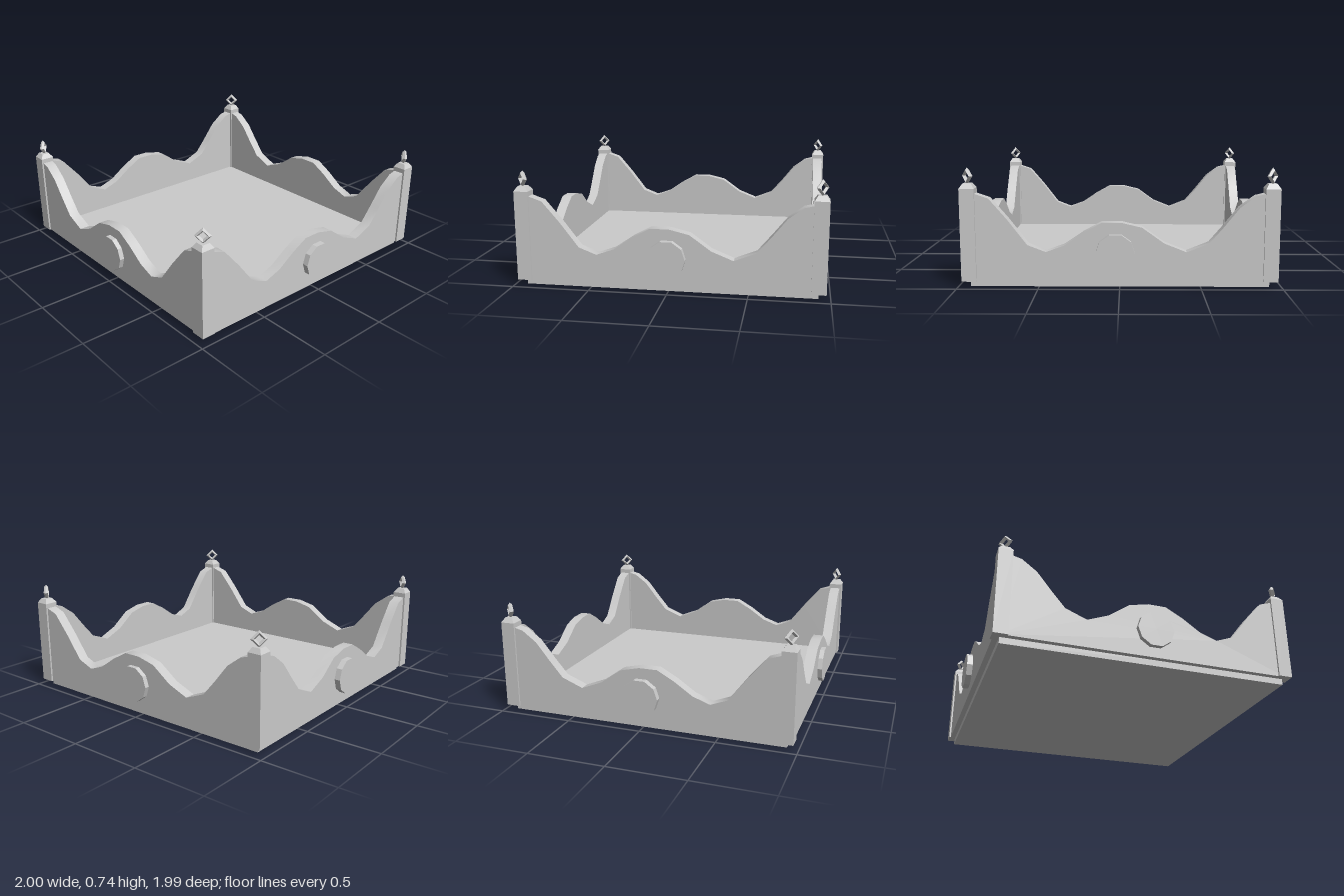
import * as THREE from 'three';
import { toCreasedNormals } from 'three/addons/utils/BufferGeometryUtils.js';

const smooth = new THREE.MeshStandardMaterial({ color: 0xcccccc });
const flat = new THREE.MeshStandardMaterial({ color: 0xcccccc, flatShading: true });

function add(parent, name, geometry, material, x, y, z) {
  const mesh = new THREE.Mesh(geometry, material);
  mesh.name = name;
  mesh.position.set(x, y, z);
  parent.add(mesh);
  return mesh;
}

// Wavy wall panel: flat bottom, scalloped top edge
function wallGeometry() {
  const top = [
    [-0.93, 0.59], [-0.885, 0.585], [-0.825, 0.57], [-0.73, 0.5], [-0.635, 0.382], [-0.548, 0.28],
    [-0.41, 0.225], [-0.272, 0.28], [-0.137, 0.377], [-0.01, 0.407], [0.11, 0.407], [0.223, 0.345],
    [0.34, 0.265], [0.453, 0.225], [0.565, 0.268], [0.683, 0.422], [0.797, 0.555], [0.885, 0.585], [0.93, 0.59],
  ];
  const shape = new THREE.Shape();
  shape.moveTo(-0.93, 0.04);
  shape.lineTo(0.93, 0.04);
  for (const [x, y] of top.slice().reverse()) shape.lineTo(x, y);
  shape.closePath();
  const geometry = new THREE.ExtrudeGeometry(shape, { depth: 0.07, bevelEnabled: false });
  geometry.translate(0, 0, -0.035);
  return toCreasedNormals(geometry, 0.75);
}

// Corner post with a tapered cap and a diamond ring finial set diagonally
function cornerPost(sx, sz) {
  const post = new THREE.Group();
  post.name = 'cornerPost';
  post.position.set(sx * 0.927, 0, sz * 0.927);
  add(post, 'postShaft', new THREE.BoxGeometry(0.092, 0.575, 0.092), flat, 0, 0.3275, 0);
  const cap = new THREE.CylinderGeometry(0.026 * Math.SQRT2, 0.046 * Math.SQRT2, 0.03, 4);
  cap.rotateY(Math.PI / 4);
  add(post, 'postCap', cap, flat, 0, 0.63, 0);
  const ring = add(post, 'finialRing', new THREE.TorusGeometry(0.037, 0.014, 4, 4), flat, 0, 0.69, 0);
  ring.rotation.y = Math.atan2(sx, sz);
  return post;
}

export function createModel() {
  const model = new THREE.Group();
  model.name = 'scallopedTray';

  // Floor slab, also the recessed plinth below the walls
  add(model, 'floor', new THREE.BoxGeometry(1.852, 0.07, 1.852), flat, 0, 0.035, 0);

  // Two pairs of opposite walls, each wall with a ten-sided medallion
  const wall = wallGeometry();
  const pairs = [
    { name: 'frontAndBackWalls', turn: 0, shift: 0.027, reach: 0.9925 },
    { name: 'sideWalls', turn: -Math.PI / 2, shift: 0.004, reach: 1 },
  ];
  for (const { name, turn, shift, reach } of pairs) {
    const pair = new THREE.Group();
    pair.name = name;
    pair.rotation.y = turn;
    const depth = reach - 0.94;
    const disc = new THREE.CylinderGeometry(0.12, 0.12, depth, 10);
    disc.rotateY(Math.PI / 2).rotateX(Math.PI / 2);
    for (const s of [-1, 1]) {
      add(pair, 'wall', wall, smooth, 0, 0, s * 0.926);
      add(pair, 'medallion', disc, flat, shift, 0.222, s * (reach - depth / 2));
    }
    model.add(pair);
  }

  for (const sx of [-1, 1]) for (const sz of [-1, 1]) model.add(cornerPost(sx, sz));
  return model;
}
